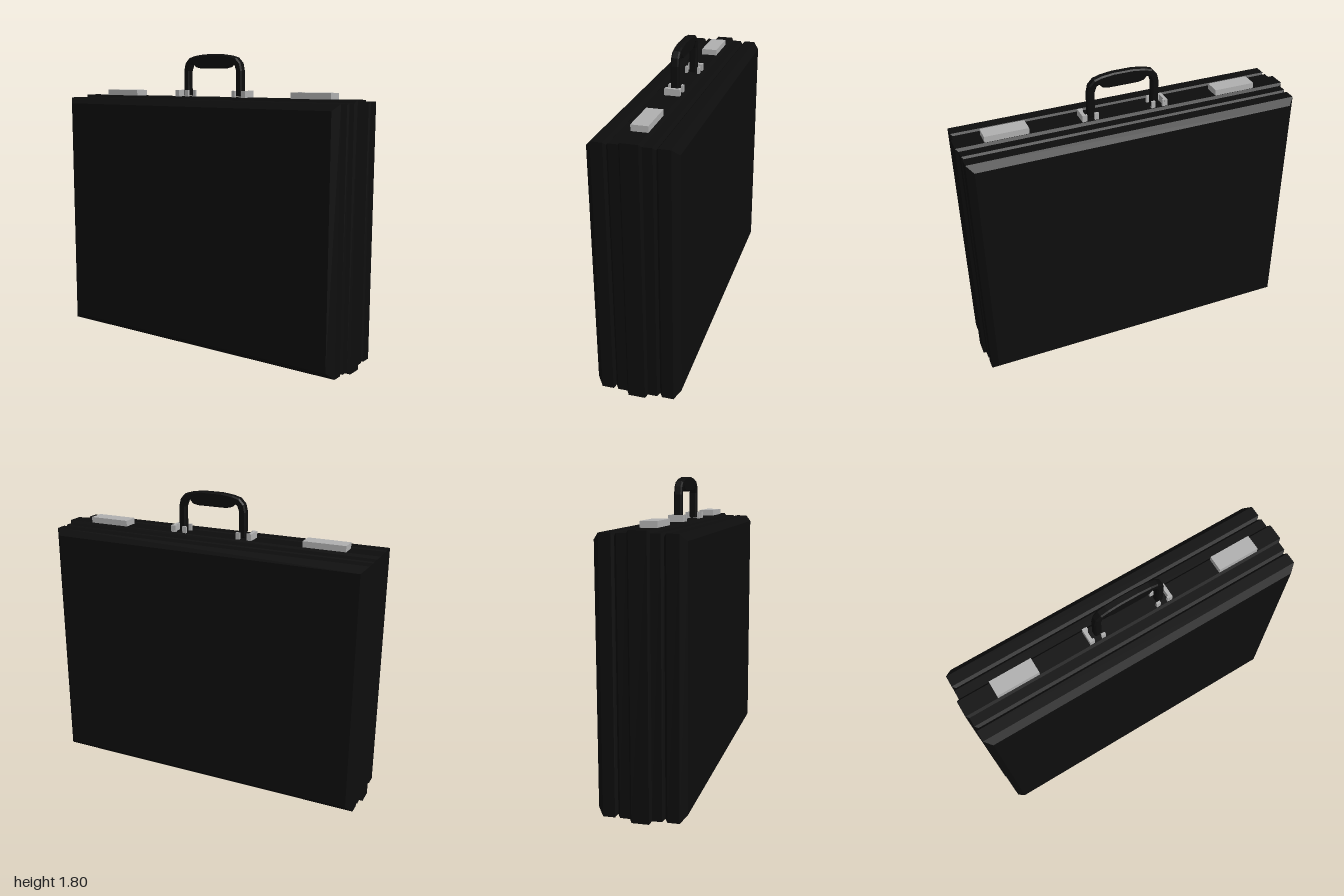
import * as THREE from 'three';

export function createModel() {
  const root = new THREE.Group();
  root.name = 'briefcase';
  const black = new THREE.MeshStandardMaterial({ color: 0x0d0d0d });
  black.name = 'black leather';
  const metal = new THREE.MeshStandardMaterial({ color: 0xb0b0b0 });
  metal.name = 'grey metal';

  const add = (name, geometry, material, parent = root) => {
    const mesh = new THREE.Mesh(geometry, material);
    mesh.name = name;
    parent.add(mesh);
    return mesh;
  };
  const box = (name, parent, w, h, d, x, y, z) =>
    add(name, new THREE.BoxGeometry(w, h, d), metal, parent).position.set(x, y, z);

  // Case: rectangular sections along x, inset from the full outline
  const half = [[0.243, 0.052], [0.208, 0.015], [0.142, 0.015], [0.128, 0.03],
    [0.114, 0.015], [0.06, 0.015], [0.048, 0]];
  const profile = [...half.map(([x, i]) => [-x, i]), ...half.slice().reverse()];
  const rings = profile.map(([x, i]) => {
    const lo = 0.025 + i, hi = 1.545 - i, z = 1 - i;
    return [[x - 0.003, lo, z], [x - 0.003, hi, z], [x - 0.003, hi, -z], [x - 0.003, lo, -z]];
  });
  const pos = [];
  const quad = (a, b, c, d) => pos.push(...a, ...b, ...c, ...a, ...c, ...d);
  for (let r = 0; r < rings.length - 1; r++) {
    for (let k = 0; k < 4; k++) {
      const n = (k + 1) % 4;
      quad(rings[r][k], rings[r + 1][k], rings[r + 1][n], rings[r][n]);
    }
  }
  const [a, b, c, d] = rings[0];
  quad(a, b, c, d);
  const [e, f, g, h] = rings[rings.length - 1];
  quad(e, h, g, f);
  const shell = new THREE.BufferGeometry();
  shell.setAttribute('position', new THREE.Float32BufferAttribute(pos, 3));
  shell.computeVertexNormals();
  add('caseShell', shell, black);

  // Handle: side outline (z, y) mirrored about its centre and extruded across x
  const outer = [[0.215, 1.55], [0.215, 1.7], [0.205, 1.745], [0.175, 1.777],
    [0.13, 1.79], [0.06, 1.799]];
  const inner = [[0.09, 1.715], [0.125, 1.723], [0.143, 1.743], [0.16, 1.735],
    [0.173, 1.7], [0.173, 1.55]];
  const flip = list => list.slice().reverse().map(([u, v]) => [-u, v]);
  const outline = [...outer, ...flip(outer), ...flip(inner), ...inner.slice()];
  const shape = new THREE.Shape(outline.map(([u, v]) => new THREE.Vector2(u, v)));
  const handleGeo = new THREE.ExtrudeGeometry(shape, {
    depth: 0.03, bevelEnabled: true, bevelThickness: 0.008, bevelSize: 0.008,
    bevelOffset: -0.008, bevelSegments: 1,
  });
  handleGeo.translate(0, 0, -0.015).rotateY(-Math.PI / 2);
  add('handle', handleGeo, black).position.set(-0.003, 0, 0.02);

  // Handle brackets: outer bar with ears, and two inner lugs
  for (const s of [1, -1]) {
    const bracket = new THREE.Group();
    bracket.name = s > 0 ? 'frontHandleBracket' : 'backHandleBracket';
    bracket.position.z = 0.018;
    root.add(bracket);
    box('bracketBar', bracket, 0.09, 0.045, 0.02, -0.004, 1.562, s * 0.25);
    for (const x of [-0.041, 0.033]) {
      box('bracketEar', bracket, 0.014, 0.045, 0.012, x, 1.562, s * 0.236);
      box('bracketLug', bracket, 0.014, 0.045, 0.024, x, 1.562, s * 0.174);
    }
  }

  // Latches on top
  for (const [name, z] of [['frontLatch', 0.713], ['backLatch', -0.68]]) {
    box(name, root, 0.094, 0.04, 0.252, -0.004, 1.56, z);
  }

  // Feet: wedges with the ridge pointing down
  const wedge = new THREE.Shape();
  wedge.moveTo(-0.032, 0.026).lineTo(0, 0).lineTo(0.032, 0.026).closePath();
  const footGeo = new THREE.ExtrudeGeometry(wedge, { depth: 0.2, bevelEnabled: false });
  footGeo.translate(0, 0, -0.1);
  for (const [name, z] of [['frontFoot', 0.755], ['backFoot', -0.715]]) {
    add(name, footGeo, metal).position.set(-0.006, 0, z);
  }
  return root;
}
